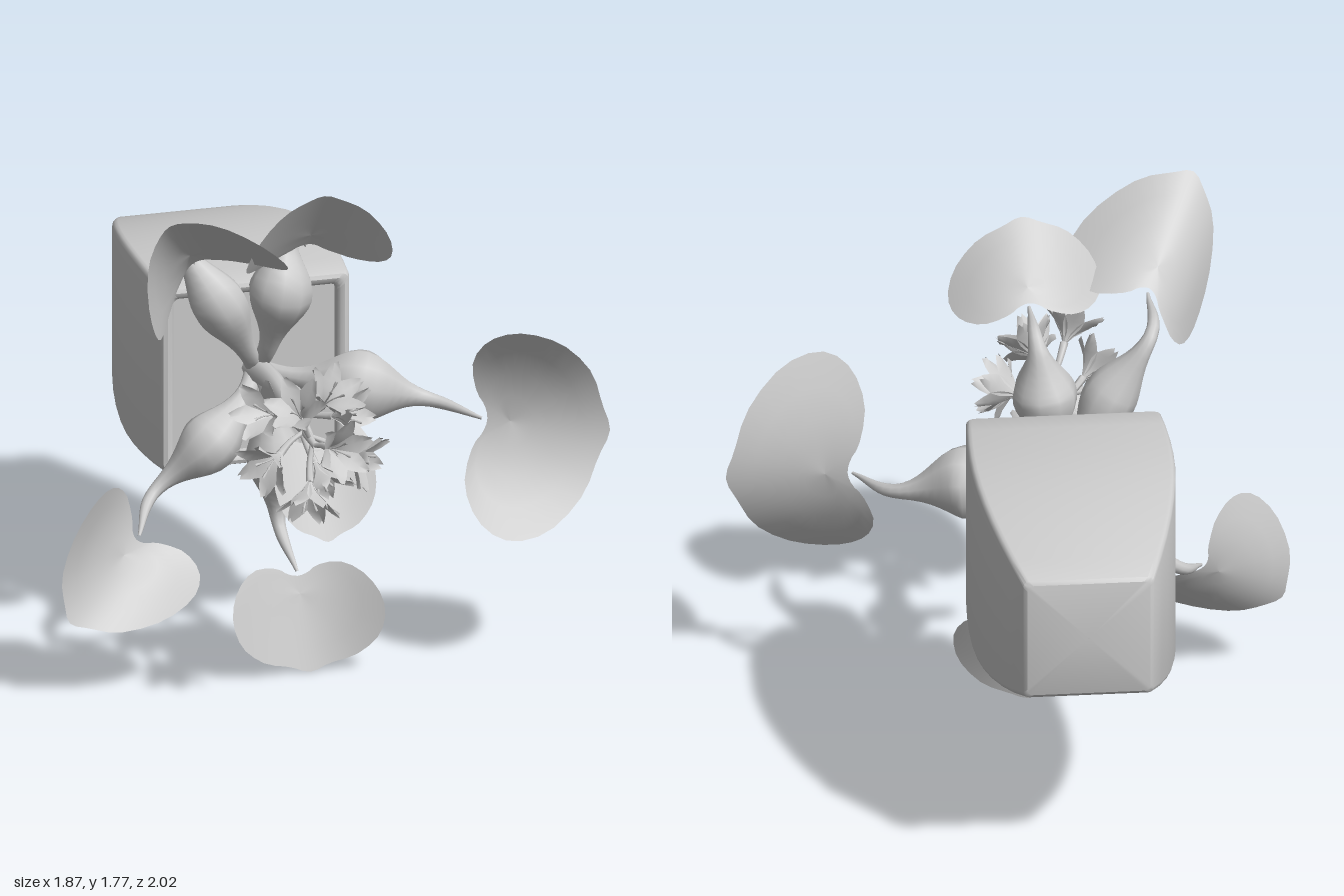
import * as THREE from 'three';
import { toCreasedNormals } from 'three/addons/utils/BufferGeometryUtils.js';

const grey = new THREE.MeshStandardMaterial({ color: 0xcccccc });
const thin = new THREE.MeshStandardMaterial({ color: 0xcccccc, side: THREE.DoubleSide });
const V = (x, y, z) => new THREE.Vector3(x, y, z);
const crown = V(-0.13, 0.95, -0.06);

function mesh(name, geometry, material = grey) {
  const m = new THREE.Mesh(geometry, material);
  m.name = name;
  return m;
}

// Skin over rings of points; each ring runs counter-clockwise about the travel direction.
function loft(rings) {
  const n = rings[0].length, index = [];
  for (let i = 0; i < rings.length - 1; i++) {
    for (let j = 0; j < n; j++) {
      const a = i * n + j, b = i * n + (j + 1) % n;
      index.push(a, b, a + n, b, b + n, a + n);
    }
  }
  const g = new THREE.BufferGeometry().setFromPoints(rings.flat());
  g.setIndex(index);
  g.computeVertexNormals();
  return g;
}

// Round stem along a path, with a radius rule
function stem(points, radius, steps = 28, sides = 10) {
  const curve = new THREE.CatmullRomCurve3(points);
  const { normals, binormals } = curve.computeFrenetFrames(steps);
  const rings = [];
  for (let i = 0; i <= steps; i++) {
    const p = curve.getPointAt(i / steps), r = radius(i / steps);
    rings.push(Array.from({ length: sides }, (_, j) => {
      const a = j / sides * Math.PI * 2;
      return p.clone().addScaledVector(normals[i], r * Math.cos(a)).addScaledVector(binormals[i], r * Math.sin(a));
    }));
  }
  return loft(rings);
}

// Square pot lying on its back: bulging wall, rounded rim, shallow recess
function pot() {
  const profile = [[-1, 0.001], [-1, 0.205]];
  for (let i = 0; i <= 10; i++) {
    const z = -0.99 + i * 0.095, d = z + 0.34;
    profile.push([z, 0.34 - d * d * (d < 0 ? 0.29 : 0.17)]);
  }
  profile.push([-0.025, 0.318], [-0.02, 0.305], [-0.025, 0.29], [-0.035, 0.282], [-0.06, 0.28], [-0.06, 0.001]);
  const rings = profile.map(([z, h]) => {
    const ring = [], c = Math.min(0.02, h * 0.3);
    for (let k = 0; k < 4; k++) {
      const m = (k + 0.5) * Math.PI / 2, corner = Math.SQRT2 * (h - c);
      for (let q = 0; q < 4; q++) {
        const a = (k + q / 3) * Math.PI / 2;
        ring.push(V(-0.135 + corner * Math.cos(m) + c * Math.cos(a), 0.945 + corner * Math.sin(m) + c * Math.sin(a), z));
      }
    }
    return ring;
  });
  return mesh('pot', toCreasedNormals(loft(rings), 0.6));
}

// Kidney outline: x across, y from base to tip
const half = [V(0.13, 0.01, 0), V(0.28, -0.07, 0), V(0.6, -0.13, 0), V(0.88, -0.03, 0),
  V(1, 0.2, 0), V(0.9, 0.52, 0), V(0.6, 0.8, 0), V(0.25, 0.93, 0)];
const mirrored = half.map((p) => V(-p.x, p.y, 0)).reverse();
const outline = new THREE.CatmullRomCurve3([V(0, 0.04, 0), ...half, V(0, 1.01, 0), ...mirrored], true, 'catmullrom')
  .getPoints(44).slice(0, -1);

// Blade bent through its base, tip and two lobe ends
function blade(base, tip, lobeA, lobeB) {
  const axis = tip.clone().sub(base);
  const side = lobeA.clone().sub(lobeB).multiplyScalar(0.5);
  const bend = lobeA.clone().add(lobeB).multiplyScalar(0.5).sub(base).addScaledVector(axis, -0.2);
  const rings = [0.001, 0.25, 0.5, 0.75, 1].map((k) => outline.map((o) => {
    const s = o.x * k, t = 0.22 + (o.y - 0.22) * k;
    return base.clone().addScaledVector(axis, t).addScaledVector(side, s).addScaledVector(bend, s * s);
  }));
  return mesh('leafBlade', loft(rings), thin);
}

// Leaf on a stem that swells into a bulb, then bends at an elbow towards the blade
function leaf(name, swell, bulb, elbow, base, tip, lobeA, lobeB) {
  const group = new THREE.Group();
  group.name = name;
  const root = crown.clone().lerp(bulb, 0.3).setZ(0.04);
  const inner = crown.distanceTo(root) + root.distanceTo(bulb);
  const centre = inner / (inner + bulb.distanceTo(elbow) + elbow.distanceTo(base));
  const radius = (u) => 0.017 + 0.014 * (1 - u) + swell * Math.exp(-(((u - centre) / 0.16) ** 2))
    - 0.06 * Math.max(0, u - 0.8);
  group.add(mesh('bulbStem', stem([crown, root, bulb, elbow, base], radius)), blade(base, tip, lobeA, lobeB));
  return group;
}

// Narrow cupped petal leaning out from the flower axis (+y)
function petalGeometry() {
  const g = new THREE.PlaneGeometry(1, 1, 2, 5), p = g.attributes.position;
  for (let i = 0; i < p.count; i++) {
    const x = p.getX(i), v = p.getY(i) + 0.5;
    const w = 0.008 + 0.062 * Math.sin(Math.PI * Math.min(0.96, v ** 1.15));
    p.setXYZ(i, x * w, 0.1 * v ** 0.8 + 0.06 * x * x * v, 0.006 + 0.1 * v ** 1.3);
  }
  g.computeVertexNormals();
  return g;
}

function flower(centre, core) {
  const group = new THREE.Group(), petal = petalGeometry();
  group.name = 'flower';
  for (let k = 0; k < 6; k++) {
    const m = mesh('petal', petal, thin);
    m.rotation.y = k * Math.PI / 3;
    group.add(m);
  }
  for (let k = 0; k < 3; k++) {
    const a = k * Math.PI / 1.5 + 0.5, c = Math.cos(a), s = Math.sin(a);
    group.add(mesh('stamen', stem([V(0, 0, 0), V(0.01 * c, 0.05, 0.01 * s), V(0.03 * c, 0.1, 0.03 * s)],
      (u) => (u > 0.85 ? 0.005 : 0.0025), 8, 5)));
  }
  group.position.copy(centre);
  group.quaternion.setFromUnitVectors(V(0, 1, 0), centre.clone().sub(core).normalize());
  return group;
}

// Flowers spiral around the stalk towards its end
function flowerSpike() {
  const spike = new THREE.Group();
  spike.name = 'flowerSpike';
  spike.add(mesh('flowerStalk', stem([crown, V(-0.13, 0.98, 0.2), V(-0.15, 0.985, 0.5), V(-0.16, 0.98, 0.8)],
    (u) => 0.045 - 0.035 * u)));
  for (let i = 0; i < 9; i++) {
    const a = i * 2.4 + 0.2, r = i < 8 ? 0.115 : 0.03, z = 0.6 + i * 0.034;
    const core = V(-0.16, 0.985, z - 0.08);
    const centre = V(-0.16 + r * Math.cos(a), 0.985 + r * Math.sin(a), z);
    const middle = core.clone().lerp(centre, 0.5).add(V(0, 0, -0.015));
    spike.add(flower(centre, core), mesh('flowerTube', stem([core, middle, centre], (u) => 0.008 + 0.006 * u, 8, 6)));
  }
  return spike;
}

export function createModel() {
  const model = new THREE.Group();
  model.name = 'pottedPlant';
  model.add(pot(), flowerSpike());
  // Bulb radius, then bulb, elbow, blade base, tip and lobe ends
  model.add(leaf('rightLeaf', 0.1, V(0.17, 0.93, 0.155), V(0.41, 0.875, 0.215), V(0.53, 0.86, 0.38),
    V(0.94, 0.81, 0.47), V(0.62, 1.22, 0.57), V(0.57, 0.49, 0.57)));
  model.add(leaf('bottomLeaf', 0.075, V(-0.09, 0.66, 0.05), V(-0.083, 0.44, 0.065), V(-0.07, 0.33, 0.25),
    V(-0.05, 0.01, 0.34), V(0.195, 0.23, 0.38), V(-0.33, 0.23, 0.39)));
  model.add(leaf('topLeaf', 0.085, V(-0.085, 1.27, 0.1), V(-0.055, 1.48, 0.1), V(-0.05, 1.5, 0.3),
    V(-0.04, 1.74, 0.48), V(0.21, 1.48, 0.41), V(-0.3, 1.5, 0.45)));
  model.add(leaf('upperLeftLeaf', 0.068, V(-0.3, 1.25, 0.11), V(-0.44, 1.48, 0.11), V(-0.45, 1.5, 0.36),
    V(-0.63, 1.77, 0.69), V(-0.2, 1.55, 0.6), V(-0.62, 1.3, 0.5)));
  model.add(leaf('lowerLeftLeaf', 0.075, V(-0.33, 0.76, 0.1), V(-0.53, 0.6, 0.11), V(-0.62, 0.52, 0.27),
    V(-0.9, 0.3, 0.43), V(-0.8, 0.71, 0.4), V(-0.47, 0.34, 0.41)));
  model.add(leaf('centreLeaf', 0.055, V(-0.1, 0.9, 0.17), V(-0.07, 0.87, 0.3), V(-0.05, 0.83, 0.42),
    V(-0.05, 0.55, 0.56), V(0.13, 0.75, 0.5), V(-0.22, 0.75, 0.5)));
  return model;
}
